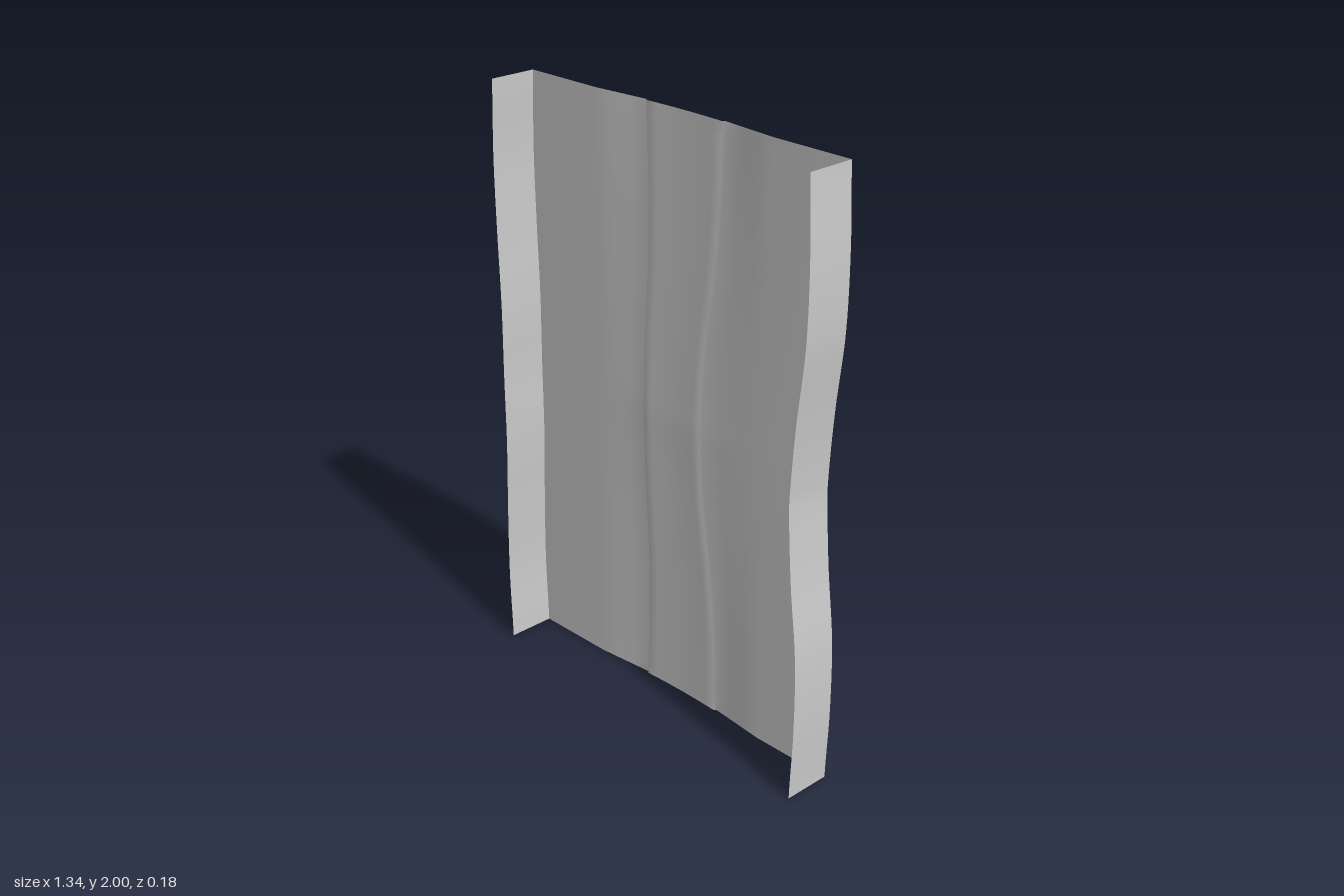
import * as THREE from 'three';

const ROWS = 48;
const material = new THREE.MeshStandardMaterial({ color: 0xcccccc, side: THREE.DoubleSide });

// smooth curve giving x at a height, mirrored about mid-height
function waveLine(xs) {
  const pts = xs.map((x, i) => new THREE.Vector2(i / (xs.length - 1), x));
  const curve = new THREE.SplineCurve(pts);
  return (y) => curve.getPoint(1 - Math.abs(y - 1)).y;
}
const leftEdge = waveLine([0.663, 0.671, 0.667, 0.659, 0.66].map((x) => -x));
const rightEdge = waveLine([0.66, 0.67, 0.666, 0.639, 0.623]);
const leftCrease = waveLine([-0.16, -0.15, -0.15, -0.162, -0.166]);
const rightCrease = waveLine([0.163, 0.158, 0.137, 0.103, 0.091]);

// surface lofted through one cross-section of [x, z] points per height
function loft(name, section) {
  const pos = [], idx = [];
  let n = 0;
  for (let r = 0; r <= ROWS; r++) {
    const y = (2 * r) / ROWS;
    const pts = section(y);
    n = pts.length;
    for (const [x, z] of pts) pos.push(x, y, z);
  }
  for (let r = 0; r < ROWS; r++) {
    for (let c = 0; c < n - 1; c++) {
      const a = r * n + c, b = a + 1, d = a + n, e = d + 1;
      idx.push(a, b, e, a, e, d);
    }
  }
  const geo = new THREE.BufferGeometry();
  geo.setAttribute('position', new THREE.Float32BufferAttribute(pos, 3));
  geo.setIndex(idx);
  geo.computeVertexNormals();
  const mesh = new THREE.Mesh(geo, material);
  mesh.name = name;
  return mesh;
}

const BACK = -0.073, FRONT = 0.092, STEP = 0.007;

// flat margins, shoulders sloping back, and a middle strip stepped slightly forward
function panelSection(y) {
  const depth = 0.008 + 0.011 * Math.pow(Math.abs(y - 1), 0.8);
  const l = leftCrease(y), r = rightCrease(y);
  const pts = [[leftEdge(y), BACK], [-0.37, BACK]];
  const slope = (from, to, t) => [from + (to - from) * t, BACK - depth * t];
  for (const t of [0.33, 0.67, 1]) pts.push(slope(-0.37, l - 0.004, t));
  for (let i = 0; i <= 8; i++) {
    const t = i / 8;
    pts.push([l + 0.004 + (r - l - 0.008) * t, BACK - depth + STEP - 0.004 * Math.sin(Math.PI * t)]);
  }
  for (const t of [1, 0.67, 0.33]) pts.push(slope(0.37, r + 0.004, t));
  pts.push([0.37, BACK], [rightEdge(y), BACK]);
  return pts;
}

export function createModel() {
  const group = new THREE.Group();
  group.name = 'wavyPanel';
  group.add(loft('panel', panelSection));
  // side flanges folded forward along the wavy edges
  group.add(loft('rightFlange', (y) => [[leftEdge(y), FRONT], [leftEdge(y), BACK]]));
  group.add(loft('leftFlange', (y) => [[rightEdge(y), BACK], [rightEdge(y), FRONT]]));
  return group;
}
